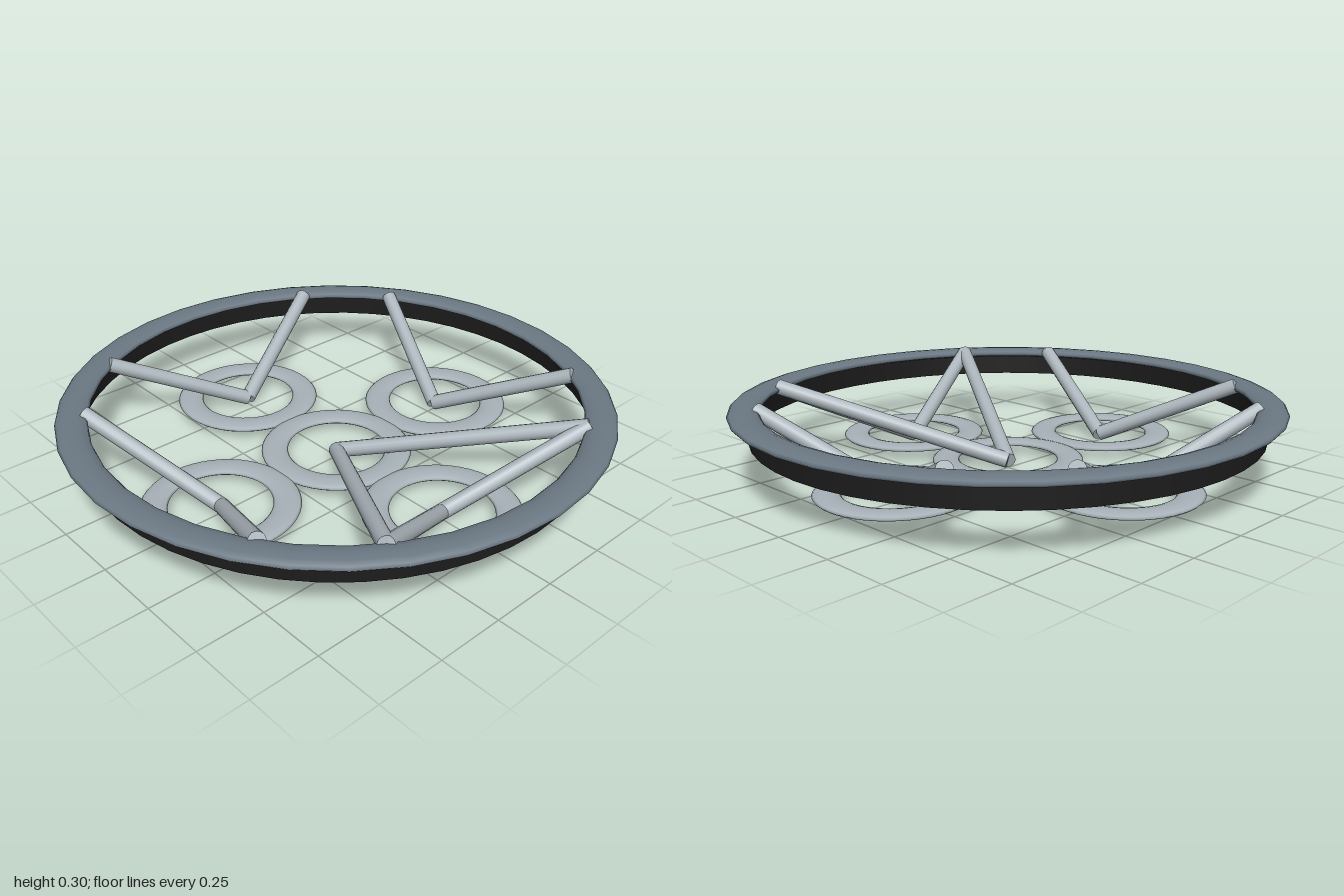
import * as THREE from 'three';

const material = (name, color, side = THREE.FrontSide) => {
  const m = new THREE.MeshStandardMaterial({ color, side });
  m.name = name;
  return m;
};

export function createModel() {
  const group = new THREE.Group();
  const rimGrey = material('rim grey', 0x6b7883);
  const bandBlack = material('band black', 0x1c1c1c, THREE.DoubleSide);
  const padGrey = material('pad grey', 0xa8b2b8);
  const strutGrey = material('strut grey', 0xacb6bc);

  const add = (name, geometry, mat, x = 0, y = 0, z = 0) => {
    const mesh = new THREE.Mesh(geometry, mat);
    mesh.name = name;
    mesh.position.set(x, y, z);
    group.add(mesh);
    return mesh;
  };

  // Flattened torus lying in the ground plane
  const flatRing = (inner, outer, height, sides, segments) => {
    const tube = (outer - inner) / 2;
    return new THREE.TorusGeometry(inner + tube, tube, sides, segments)
      .rotateX(-Math.PI / 2)
      .scale(1, height / (2 * tube), 1);
  };

  // Outer rim with the dark band hanging below it
  add('rim', flatRing(0.887, 1, 0.036, 12, 36), rimGrey, 0, 0.262, 0);
  add('rimBand', new THREE.CylinderGeometry(0.932, 0.932, 0.09, 48, 1, true), bandBlack, 0, 0.21, 0);

  // Five ring pads in a cross
  const padGeometry = flatRing(0.182, 0.28, 0.025, 12, 48);
  const pads = [['centre', 0, 0], ['left', 0.538, 0], ['right', -0.538, 0], ['front', 0, 0.538], ['back', 0, -0.538]];
  for (const [place, x, z] of pads) add(place + 'Pad', padGeometry, padGrey, x, 0.038, z);

  // Round strut between two points
  const strut = (name, from, to) => {
    const a = new THREE.Vector3(...from);
    const b = new THREE.Vector3(...to);
    const dir = b.clone().sub(a);
    const mesh = add(name, new THREE.CylinderGeometry(0.029, 0.029, dir.length(), 14), strutGrey);
    mesh.position.copy(a).add(b).multiplyScalar(0.5);
    mesh.quaternion.setFromUnitVectors(new THREE.Vector3(0, 1, 0), dir.normalize());
  };

  // A V of two struts from each pad up to the rim
  const low = 0.029;
  const high = 0.27;
  for (const s of [1, -1]) {
    strut('backStrut', [0, low, -0.54], [s * 0.49, high, -0.755]);
    strut('frontStrut', [0, low, 0.535], [s * 0.49, high, 0.755]);
    strut('centreStrut', [0, low, 0], [s * 0.49, high, 0.755]);
    strut('leftStrut', [0.535, low, 0], [0.755, high, s * 0.49]);
    strut('rightStrut', [-0.535, low, 0], [-0.755, high, s * 0.49]);
  }
  return group;
}
